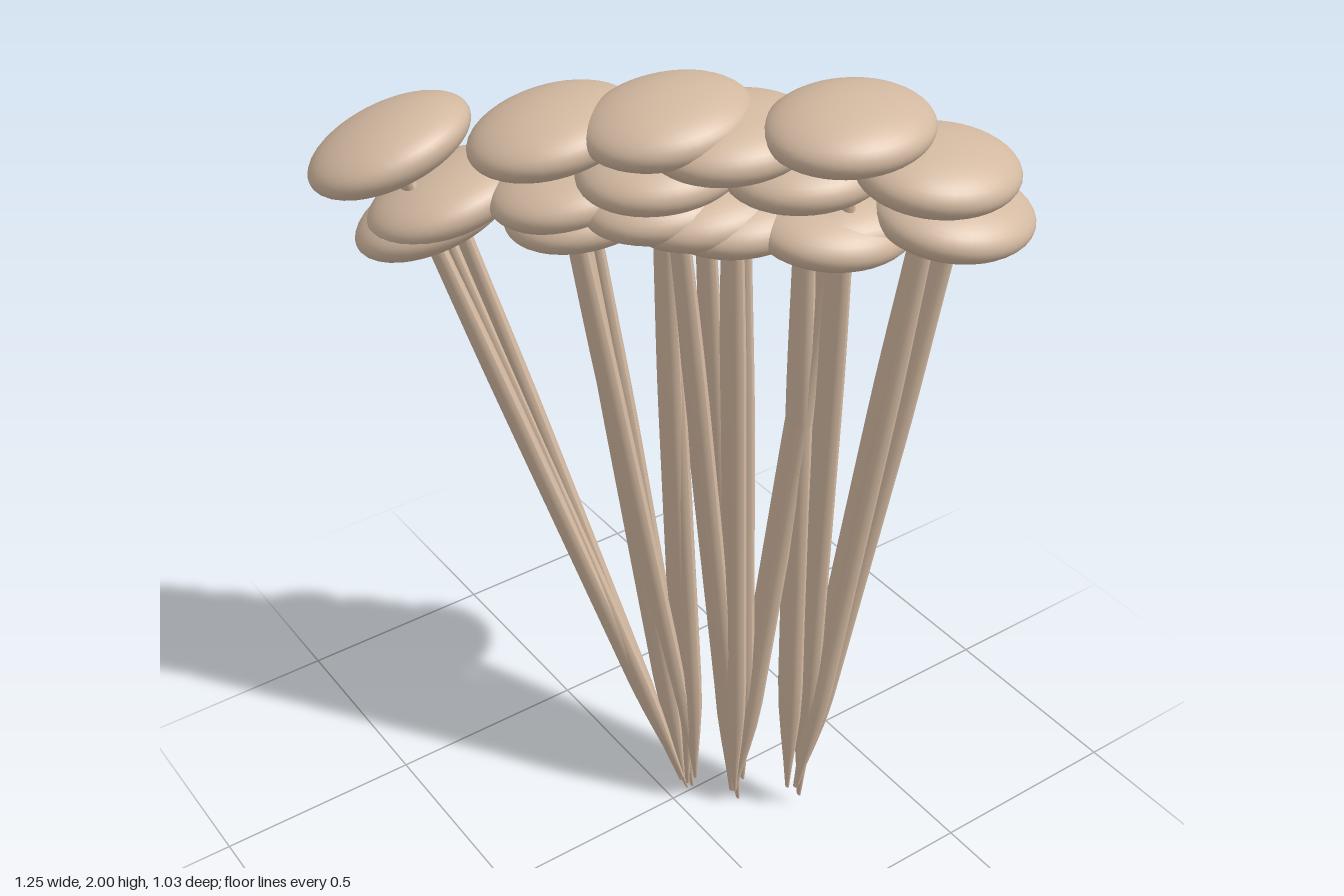
import * as THREE from 'three';

const UP = new THREE.Vector3(0, 1, 0);

// Three roots, each with the cap centres [x, y, z] that grow from it
const CLUMPS = [
  { root: [0.045, 0.035, 0.03], caps: [
    [-0.45, 1.832, -0.36], [-0.36, 1.655, -0.36], [-0.34, 1.695, -0.335],
    [-0.205, 1.888, -0.125], [-0.15, 1.74, -0.15], [-0.12, 1.69, -0.14],
    [-0.02, 1.735, -0.01], [-0.03, 1.81, 0]] },
  { root: [0.13, 0.005, 0.095], caps: [
    [-0.04, 1.927, 0.035], [0.065, 1.893, 0.11], [0.05, 1.72, 0.04],
    [0.115, 1.70, 0.08], [0.25, 1.69, 0.215]] },
  { root: [0.23, 0.045, 0.2], caps: [
    [0.23, 1.93, 0.27], [0.39, 1.83, 0.36], [0.445, 1.713, 0.36],
    [0.28, 1.70, 0.2], [0.21, 1.81, 0.17]] },
];

// Flattened stem, pointed at the root and slightly narrower under the cap
function stemGeometry(base, top) {
  const geo = new THREE.CylinderGeometry(1, 1, 1, 16, 20);
  const pos = geo.attributes.position;
  const p = new THREE.Vector3();
  const c = new THREE.Vector3();
  for (let i = 0; i < pos.count; i++) {
    p.fromBufferAttribute(pos, i);
    const t = p.y + 0.5;
    c.lerpVectors(base, top, t);
    const w = (0.06 + 0.94 * THREE.MathUtils.smoothstep(t, -0.05, 0.2))
      * (1 - 0.25 * THREE.MathUtils.smoothstep(t, 0.65, 1));
    pos.setXYZ(i, c.x + p.x * 0.022 * w, c.y, c.z + p.z * 0.04 * w);
  }
  geo.computeVertexNormals();
  return geo;
}

export function createModel() {
  const model = new THREE.Group();
  model.name = 'mushroomCluster';
  const material = new THREE.MeshStandardMaterial({ color: 0xd2b8a0 });
  const capGeo = new THREE.SphereGeometry(1, 40, 24).scale(0.182, 0.07, 0.156);

  CLUMPS.forEach(({ root, caps }, k) => {
    const clump = new THREE.Group();
    clump.name = `clump${k + 1}`;
    caps.forEach((centre, i) => {
      const top = new THREE.Vector3(...centre);
      // Roots fan out towards their caps, with ragged lower ends
      const a = i * 2.4;
      const base = new THREE.Vector3(
        root[0] + (top.x - root[0]) * 0.05 + Math.cos(a) * 0.016,
        root[1] + (i * 3 % 5) * 0.02,
        root[2] + (top.z - root[2]) * 0.05 + Math.sin(a) * 0.016);

      const stem = new THREE.Mesh(stemGeometry(base, top), material);
      stem.name = 'stem';

      // Cap sits square to its stem
      const cap = new THREE.Mesh(capGeo, material);
      cap.name = 'cap';
      cap.position.copy(top);
      cap.quaternion.setFromUnitVectors(UP, top.clone().sub(base).normalize());
      clump.add(stem, cap);
    });
    model.add(clump);
  });
  return model;
}
